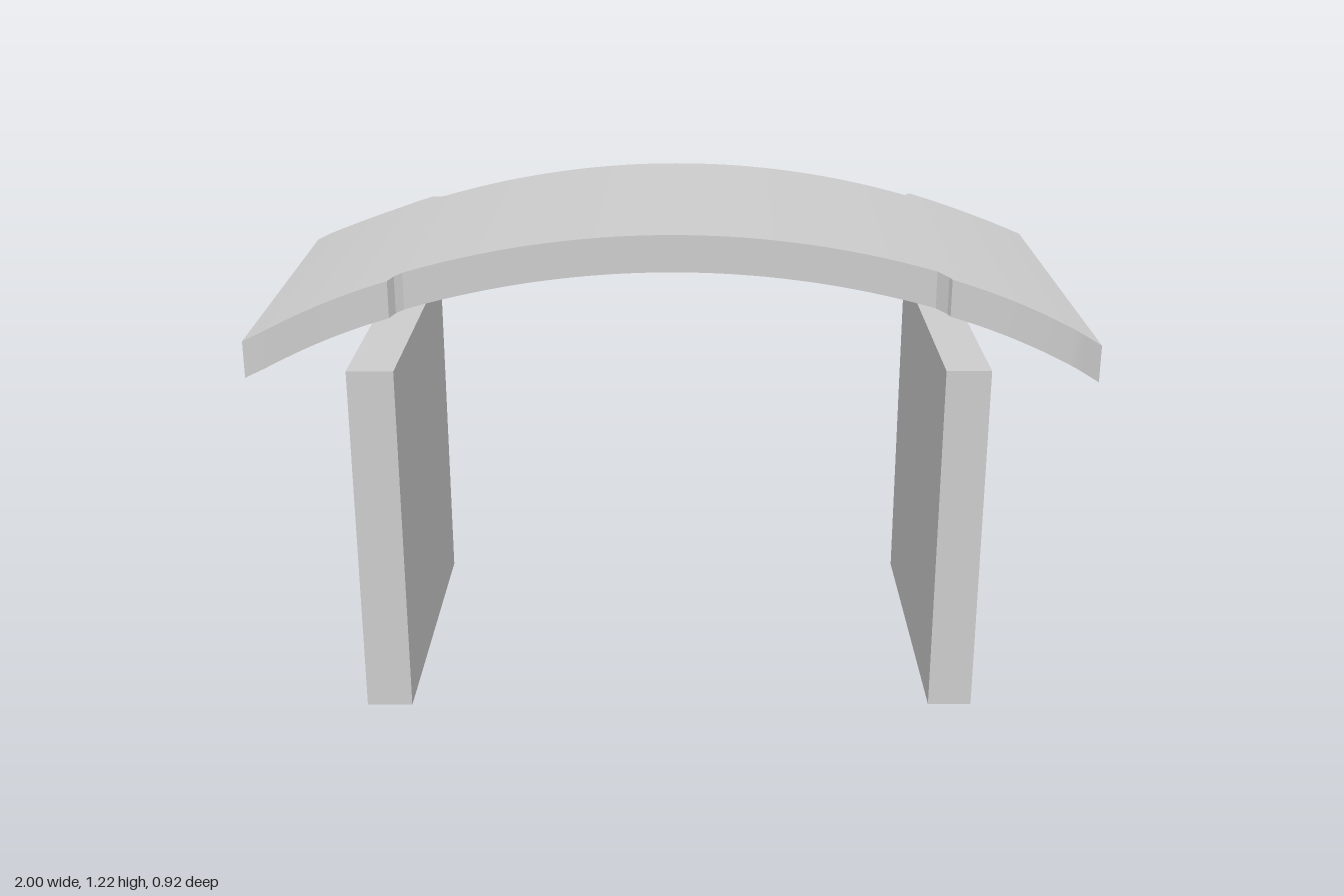
import * as THREE from 'three';
import { toCreasedNormals } from 'three/addons/utils/BufferGeometryUtils.js';

const material = new THREE.MeshStandardMaterial({ color: 0xcccccc });

// Plan outline of the arched top as [x, z], left to right
const backEdge = [[-1, -0.455], [-0.96, -0.455], [-0.9, -0.435], [-0.83, -0.42], [-0.76, -0.413],
  [-0.67, -0.417], [-0.655, -0.4], [-0.63, -0.375], [0.625, -0.4], [0.635, -0.425], [0.642, -0.44],
  [0.74, -0.44], [0.82, -0.445], [0.9, -0.455], [0.955, -0.465]];
const frontEdge = [[-1, 0.455], [-0.955, 0.455], [-0.87, 0.432], [-0.8, 0.42], [-0.72, 0.415],
  [-0.66, 0.415], [-0.648, 0.388], [-0.63, 0.375], [0.625, 0.352], [0.65, 0.375], [0.656, 0.388],
  [0.73, 0.388], [0.8, 0.393], [0.88, 0.405], [0.95, 0.425], [1, 0.457]];

// Linear interpolation of z along an outline
function zAt(edge, x) {
  let i = 1;
  while (i < edge.length - 1 && edge[i][0] < x) i++;
  const [x0, z0] = edge[i - 1], [x1, z1] = edge[i];
  return THREE.MathUtils.lerp(z0, z1, THREE.MathUtils.clamp((x - x0) / (x1 - x0), 0, 1));
}

// Arc of the upper surface
const radius = 2.245;
const archY = x => 1.215 - radius + Math.sqrt(radius * radius - x * x);
const thickness = 0.09;

// The right end is slanted, so the back edge is slightly shorter there
const backX = u => u - 0.045 * Math.max(0, (u - 0.7) / 0.3);

// Arched slab lofted from four-cornered cross-sections
function archGeometry() {
  const stations = new Set();
  for (let i = 0; i <= 60; i++) stations.add(+(-1 + i / 30).toFixed(4));
  for (const [x] of [...backEdge.slice(0, -1), ...frontEdge]) stations.add(x);
  const sections = [...stations].sort((a, b) => a - b).map(u => {
    const xb = backX(u), zf = zAt(frontEdge, u), zb = zAt(backEdge, xb);
    return [
      [u, archY(u), zf], [xb, archY(xb), zb],
      [xb, archY(xb) - thickness, zb], [u, archY(u) - thickness, zf],
    ];
  });
  const positions = [];
  const quad = (a, b, c, d) => positions.push(...a, ...b, ...c, ...a, ...c, ...d);
  for (let i = 0; i < sections.length - 1; i++) {
    const s = sections[i], t = sections[i + 1];
    for (let j = 0; j < 4; j++) {
      const k = (j + 1) % 4;
      quad(s[j], t[j], t[k], s[k]);
    }
  }
  quad(...sections[0]);
  quad(...sections[sections.length - 1].slice().reverse());
  const geometry = new THREE.BufferGeometry();
  geometry.setAttribute('position', new THREE.Float32BufferAttribute(positions, 3));
  return toCreasedNormals(geometry, 0.35);
}

// Upright wall, optionally turned a little about the vertical
function wall(name, width, depth, x, z, turn) {
  const height = 0.895;
  const mesh = new THREE.Mesh(new THREE.BoxGeometry(width, height, depth), material);
  mesh.name = name;
  mesh.position.set(x, height / 2, z);
  mesh.rotation.y = turn;
  return mesh;
}

export function createModel() {
  const group = new THREE.Group();
  group.name = 'archedTable';

  const top = new THREE.Mesh(archGeometry(), material);
  top.name = 'archedTop';
  group.add(top);

  group.add(wall('rightSupport', 0.113, 0.84, -0.713, 0, 0));
  group.add(wall('leftSupport', 0.108, 0.832, 0.699, -0.02, 0.018));
  return group;
}
